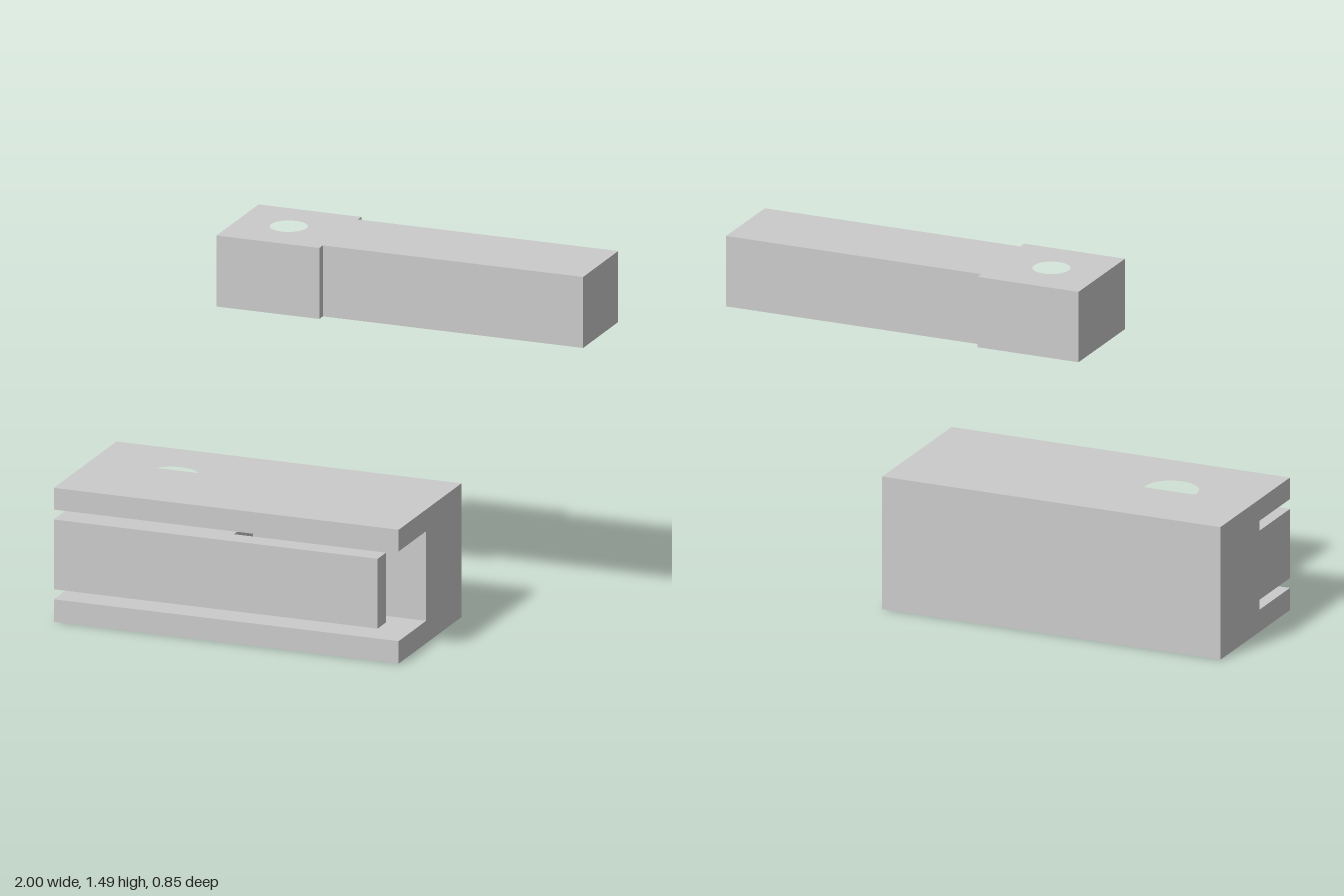
import * as THREE from 'three';
import { toCreasedNormals } from 'three/addons/utils/BufferGeometryUtils.js';

const material = new THREE.MeshStandardMaterial({ color: 0xcccccc });
const BORE = { x: -0.645, z: 0.105, r: 0.108 };
const PIN = { x: -0.288, z: -0.214, r: 0.073 };

// Plan outline given as [x, z] corners, with an optional round hole.
function planShape(corners, hole) {
  const shape = new THREE.Shape(corners.map(([x, z]) => new THREE.Vector2(x, -z)));
  if (hole) shape.holes.push(new THREE.Path().absarc(hole.x, -hole.z, hole.r, 0, Math.PI * 2, true));
  return shape;
}

// Raise a plan outline from y0 to y1.
function slab(name, shape, y0, y1) {
  const extruded = new THREE.ExtrudeGeometry(shape, { depth: y1 - y0, bevelEnabled: false, curveSegments: 40 });
  extruded.rotateX(-Math.PI / 2).translate(0, y0, 0);
  const mesh = new THREE.Mesh(toCreasedNormals(extruded, 0.6), material);
  mesh.name = name;
  return mesh;
}

export function createModel() {
  const model = new THREE.Group();
  model.name = 'latchAssembly';

  // Housing: two outer plates, a spine behind the slot, and a sprung lever in the slot
  const housing = new THREE.Group();
  housing.name = 'housing';
  const left = -1, right = 0.425, back = -0.215, front = 0.425, slotBack = 0.145;
  const plate = planShape([[left, back], [right, back], [right, front], [left, front]], BORE);
  housing.add(slab('bottomPlate', plate, 0, 0.09), slab('topPlate', plate, 0.45, 0.537));

  // Spine beside the clearance gaps, where the bore breaks through the slot wall
  const a = Math.asin((slotBack - BORE.z) / BORE.r);
  const spine = new THREE.Shape();
  spine.moveTo(left, -slotBack);
  spine.lineTo(left, -back);
  spine.lineTo(right, -back);
  spine.lineTo(right, -slotBack);
  spine.absarc(BORE.x, -BORE.z, BORE.r, -a, Math.PI + a, false);
  spine.closePath();
  housing.add(slab('lowerSpine', spine, 0.09, 0.13), slab('upperSpine', spine, 0.41, 0.45));

  // Middle layer: spine, lever root around the bore, and the thin lever
  const lever = planShape([
    [left, back], [right, back], [right, slotBack], [-0.29, slotBack],
    [-0.29, 0.34], [0.338, 0.34], [0.338, front], [left, front],
  ], BORE);
  housing.add(slab('spineAndLever', lever, 0.13, 0.41));

  // Separate bar with a wider, drilled head
  const bar = planShape([
    [-0.5, -0.428], [-0.075, -0.428], [-0.075, -0.394], [1, -0.394],
    [1, -0.036], [-0.075, -0.036], [-0.075, 0], [-0.5, 0],
  ], PIN);
  model.add(housing, slab('bar', bar, 1.2, 1.485));
  return model;
}
